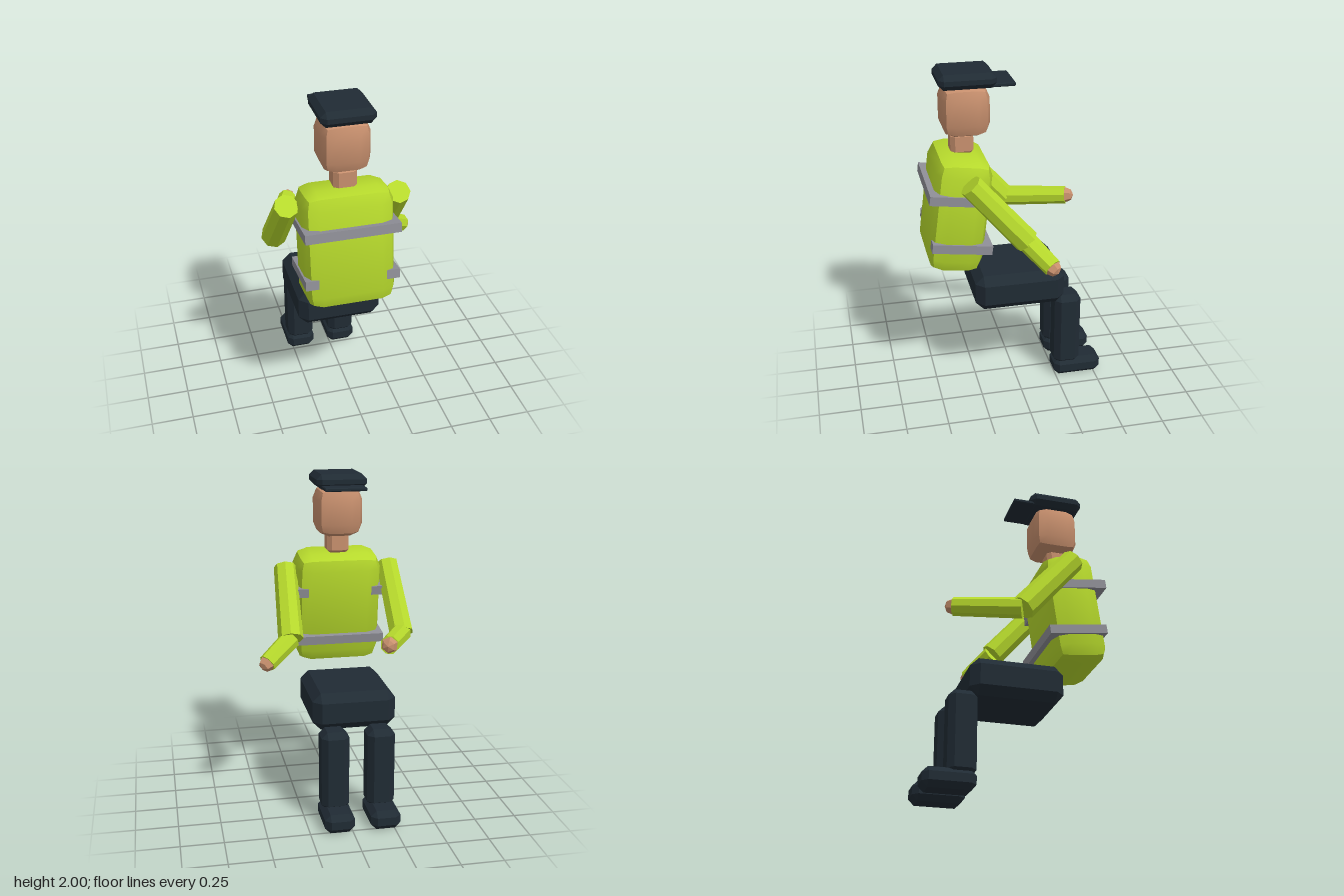
import * as THREE from 'three';
import { toCreasedNormals } from 'three/addons/utils/BufferGeometryUtils.js';
import { RoundedBoxGeometry } from 'three/addons/geometries/RoundedBoxGeometry.js';
import { ConvexGeometry } from 'three/addons/geometries/ConvexGeometry.js';

const MID = -0.06; // x of the body's centre line

function material(name, color, flatShading = false) {
  const m = new THREE.MeshStandardMaterial({ color, flatShading });
  m.name = name;
  return m;
}

// Box with every edge cut by a single flat chamfer
function chamferBox(w, h, d, c) {
  const points = [];
  for (const x of [-w / 2, w / 2]) for (const y of [-h / 2, h / 2]) for (const z of [-d / 2, d / 2]) {
    const ix = x - Math.sign(x) * c, iy = y - Math.sign(y) * c, iz = z - Math.sign(z) * c;
    points.push(new THREE.Vector3(x, iy, iz), new THREE.Vector3(ix, y, iz), new THREE.Vector3(ix, iy, z));
  }
  return new ConvexGeometry(points);
}

// Softly swollen box with a crisp ridge along each corner
function softBox(w, h, d, r) {
  return toCreasedNormals(new RoundedBoxGeometry(w, h, d, 1, r), 0.6);
}

export function createModel() {
  const vest = material('vestYellow', 0xb6d92c);
  const navy = material('darkNavy', 0x202b34);
  const grey = material('reflectiveGrey', 0x8f8f97);
  const skin = material('skin', 0xc8906e);

  const model = new THREE.Group();
  model.name = 'seatedWorker';

  function add(name, geometry, mat, x, y, z, parent = model) {
    const mesh = new THREE.Mesh(geometry, mat);
    mesh.name = name;
    mesh.position.set(x, y, z);
    parent.add(mesh);
    return mesh;
  }

  // Eight-sided limb between two points
  function limb(name, from, to, r0, r1) {
    const dir = to.clone().sub(from);
    const geometry = new THREE.CylinderGeometry(r1, r0, dir.length(), 8).toNonIndexed();
    geometry.computeVertexNormals();
    const mid = from.clone().add(to).multiplyScalar(0.5);
    const mesh = add(name, geometry, vest, mid.x, mid.y, mid.z);
    mesh.quaternion.setFromUnitVectors(new THREE.Vector3(0, 1, 0), dir.normalize());
    return mesh;
  }

  // Head, neck and cap
  add('head', softBox(0.28, 0.3, 0.28, 0.075), skin, MID, 1.768, 0.275);
  add('neck', chamferBox(0.135, 0.14, 0.135, 0.025), skin, MID, 1.57, 0.297);
  add('cap', chamferBox(0.305, 0.088, 0.33, 0.03), navy, MID, 1.956, 0.27);
  add('capBrim', chamferBox(0.25, 0.022, 0.15, 0.005), navy, MID, 1.925, 0.07);

  // Leaning torso with its two reflective bands
  const torso = new THREE.Group();
  torso.name = 'torso';
  torso.position.set(MID, 1.17, 0.342);
  torso.rotation.x = -0.13;
  model.add(torso);
  add('vest', softBox(0.525, 0.7, 0.33, 0.09), vest, 0, 0, 0, torso);
  add('upperBand', new THREE.BoxGeometry(0.545, 0.055, 0.355), grey, 0, 0.127, 0.022, torso);
  add('lowerBand', new THREE.BoxGeometry(0.545, 0.055, 0.355), grey, 0, -0.172, -0.022, torso);

  // Hips and thighs as one seated block
  add('thighs', chamferBox(0.5, 0.225, 0.55, 0.05), navy, MID, 0.657, -0.015);

  for (const [side, s] of [['left', -1], ['right', 1]]) {
    // Shins and boots (facing -z, so the wearer's left is -x)
    const x = MID + s * 0.137;
    add(side + 'Shin', chamferBox(0.165, 0.49, 0.165, 0.035), navy, x, 0.327, -0.322);
    add(side + 'Boot', chamferBox(0.177, 0.115, 0.3, 0.033), navy, x, 0.0575, -0.39);

    // Arms: the two forearms reach differently
    const shoulder = new THREE.Vector3(MID + s * 0.323, 1.42, 0.3);
    const elbow = new THREE.Vector3(MID + s * 0.34, 1.05, -0.02);
    const wrist = s > 0 ? new THREE.Vector3(0.438, 0.943, -0.137) : new THREE.Vector3(-0.233, 1.09, -0.39);
    limb(side + 'UpperArm', shoulder, elbow, 0.07, 0.076);
    const forearm = limb(side + 'Forearm', elbow, wrist, 0.062, 0.055);

    const handGeometry = new THREE.SphereGeometry(0.05, 6, 4).toNonIndexed();
    handGeometry.computeVertexNormals();
    const hand = add(side + 'Hand', handGeometry, skin, wrist.x, wrist.y, wrist.z);
    hand.quaternion.copy(forearm.quaternion);
  }
  return model;
}
